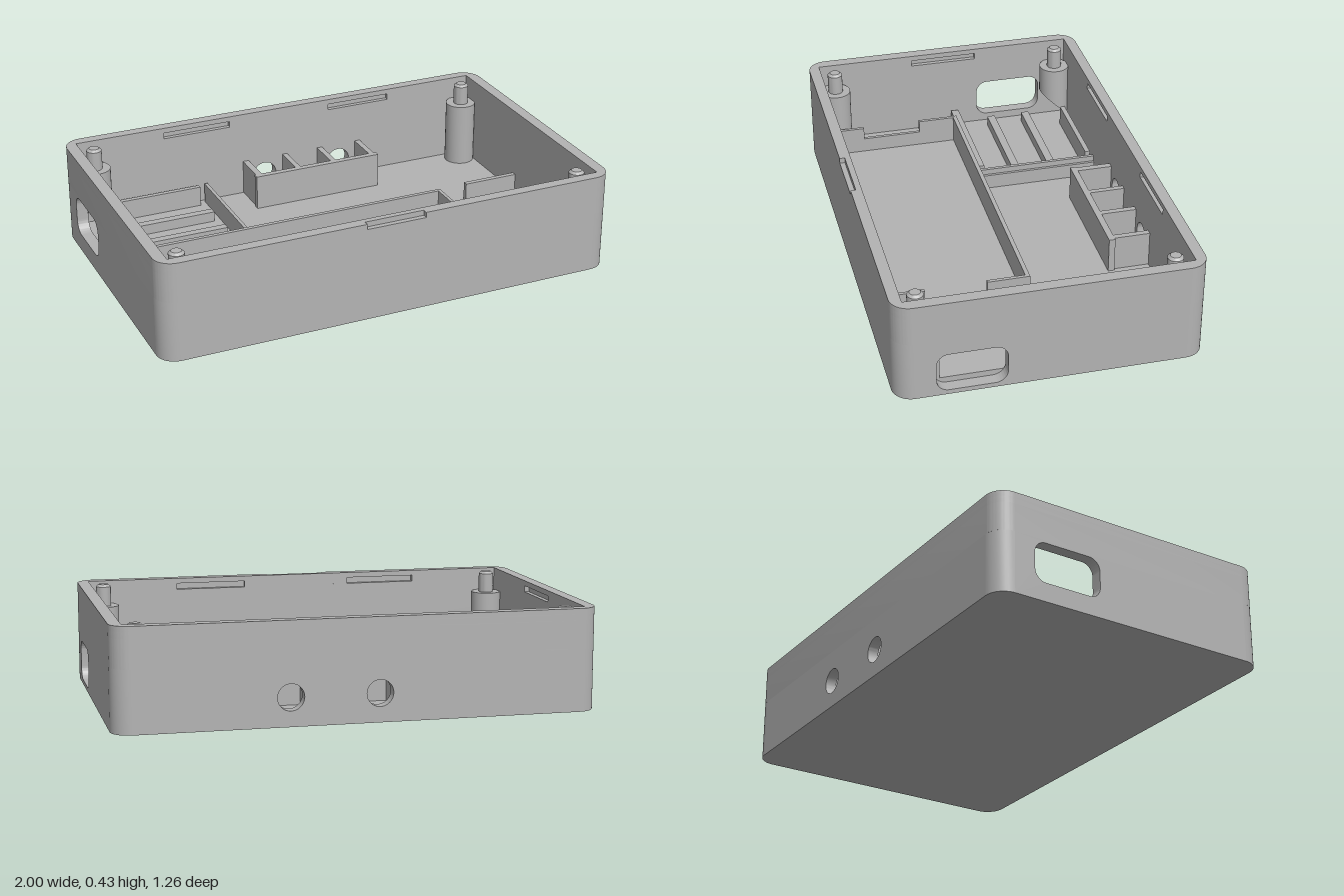
import * as THREE from 'three';
import { toCreasedNormals } from 'three/addons/utils/BufferGeometryUtils.js';

const W = 1, D = 0.63, H = 0.43;      // outer half width, half depth, height
const IW = 0.95, ID = 0.583;          // inner half width and depth
const R = 0.08, FLOOR = 0.045, BAND = 0.26;

export function createModel() {
  const group = new THREE.Group();
  const plastic = new THREE.MeshStandardMaterial({ color: 0xb3b3b3 });
  plastic.name = 'grey plastic';

  const add = (name, geometry) => {
    const mesh = new THREE.Mesh(toCreasedNormals(geometry, 0.6), plastic);
    mesh.name = name;
    group.add(mesh);
    return mesh;
  };
  // Box given by its limits
  const block = (name, x0, x1, y0, y1, z0, z1) =>
    add(name, new THREE.BoxGeometry(x1 - x0, y1 - y0, z1 - z0)
      .translate((x0 + x1) / 2, (y0 + y1) / 2, (z0 + z1) / 2));
  // Plan shape (shape y = -z) raised from y0 to y1
  const slab = (name, shape, y0, y1) =>
    add(name, new THREE.ExtrudeGeometry(shape, { depth: y1 - y0, bevelEnabled: false, curveSegments: 10 })
      .rotateX(-Math.PI / 2).translate(0, y0, 0));
  const roundRect = (path, x0, x1, y0, y1, r, notch) => {
    path.moveTo(x0 + r, y0);
    if (notch) {
      path.lineTo(-notch, y0);
      path.lineTo(-notch, y0 + 0.022);
      path.lineTo(notch, y0 + 0.022);
      path.lineTo(notch, y0);
    }
    path.lineTo(x1 - r, y0);
    path.absarc(x1 - r, y0 + r, r, -Math.PI / 2, 0);
    path.lineTo(x1, y1 - r);
    path.absarc(x1 - r, y1 - r, r, 0, Math.PI / 2);
    path.lineTo(x0 + r, y1);
    path.absarc(x0 + r, y1 - r, r, Math.PI / 2, Math.PI);
    path.lineTo(x0, y0 + r);
    path.absarc(x0 + r, y0 + r, r, Math.PI, Math.PI * 1.5);
    return path;
  };
  const pathOf = (pts) => new THREE.Path(pts.map(([x, y]) => new THREE.Vector2(x, y)));

  // Floor
  block('floor', -IW, IW, 0, FLOOR, -ID, ID);

  // Upper wall: plain band, band with inner latch recesses, rim with front notch
  const plain = pathOf([[-IW, -ID], [IW, -ID], [IW, ID], [-IW, ID]]);
  const g = 0.02;
  const recessed = pathOf([
    [-IW, -ID], [-0.55, -ID], [-0.55, -ID - g], [-0.24, -ID - g], [-0.24, -ID],
    [0.24, -ID], [0.24, -ID - g], [0.55, -ID - g], [0.55, -ID], [IW, -ID],
    [IW, ID], [0.54, ID], [0.54, ID + g], [0.24, ID + g], [0.24, ID],
    [-0.24, ID], [-0.24, ID + g], [-0.55, ID + g], [-0.55, ID], [-IW, ID],
    [-IW, 0.15], [-IW - g, 0.15], [-IW - g, -0.15], [-IW, -0.15],
  ]);
  const bands = [
    ['upperWall', BAND, 0.38, plain, 0],
    ['latchRecessBand', 0.38, 0.407, recessed, 0],
    ['rim', 0.407, H, plain, 0.13],
  ];
  for (const [name, y0, y1, hole, notch] of bands) {
    const shape = roundRect(new THREE.Shape(), -W, W, -D, D, R, notch);
    shape.holes.push(hole);
    slab(name, shape, y0, y1);
  }

  // Lower wall corners
  for (let i = 0; i < 4; i++) {
    const sx = i % 2 ? 1 : -1, sz = i < 2 ? 1 : -1;
    const pts = [[IW, D - R], [W, D - R]];
    for (let k = 1; k <= 10; k++) {
      const a = (k / 10) * Math.PI / 2;
      pts.push([W - R + R * Math.cos(a), D - R + R * Math.sin(a)]);
    }
    pts.push([W - R, ID], [IW, ID]);
    slab('wallCorner', new THREE.Shape(pts.map(([x, y]) => new THREE.Vector2(sx * x, sz * y))), 0, BAND);
  }

  // Lower wall panels
  block('frontWall', -W + R, W - R, 0, BAND, ID, D);
  const back = roundRect(new THREE.Shape(), -W + R, W - R, 0, BAND, 0);
  for (const x of [-0.075, 0.29]) {
    back.holes.push(new THREE.Path().absarc(x, 0.12, 0.055, 0, Math.PI * 2, true));
  }
  add('backWall', new THREE.ExtrudeGeometry(back, { depth: D - ID, bevelEnabled: false, curveSegments: 24 })
    .translate(0, 0, -D));
  const sideWall = (name, x, z0, z1, y0, y1) => {
    const shape = roundRect(new THREE.Shape(), -D + R, D - R, 0, BAND, 0);
    shape.holes.push(roundRect(new THREE.Path(), -z1, -z0, y0, y1, 0.05));
    add(name, new THREE.ExtrudeGeometry(shape, { depth: W - IW, bevelEnabled: false, curveSegments: 10 })
      .rotateY(Math.PI / 2).translate(x, 0, 0));
  };
  sideWall('leftWall', IW, 0.18, 0.465, 0.02, 0.19);
  sideWall('rightWall', -W, -0.46, -0.16, 0.08, 0.25);

  // Corner posts with locating pegs; one has a sloped underside above the port
  for (const x of [-0.89, 0.89]) {
    for (const z of [-0.52, 0.52]) {
      const profile = [[0, FLOOR], [0.067, FLOOR], [0.067, 0.33], [0.033, 0.33], [0.033, 0.415], [0.022, 0.425], [0, 0.425]];
      const post = new THREE.LatheGeometry(profile.map(([r, y]) => new THREE.Vector2(r, y)), 28);
      if (x < 0 && z < 0) {
        const p = post.attributes.position;
        for (let i = 0; i < p.count; i++) {
          if (p.getY(i) < 0.1) p.setY(i, 0.145 + p.getZ(i) * 0.9);
        }
      }
      add('cornerPost', post.translate(x, 0, z));
    }
  }

  // Battery tray: back wall and two notched end walls
  block('trayBackWall', -0.815, 0.535, FLOOR, 0.165, -0.03, -0.012);
  for (const x of [-0.815, 0.52]) {
    block('trayEndWall', x, x + 0.015, FLOOR, 0.165, -0.012, 0.15);
    block('trayEndNotch', x, x + 0.015, FLOOR, 0.11, 0.15, 0.41);
    block('trayEndWall', x, x + 0.015, FLOOR, 0.165, 0.41, ID);
  }

  // Circuit board supports and stepped divider
  block('boardRib', -0.83, -0.405, FLOOR, 0.135, -0.56, -0.538);
  block('boardRib', -0.9, -0.405, FLOOR, 0.09, -0.4, -0.365);
  block('boardRib', -0.9, -0.405, FLOOR, 0.09, -0.235, -0.2);
  block('boardRib', -0.925, -0.405, FLOOR, 0.13, -0.065, -0.03);
  block('divider', -0.375, -0.36, FLOOR, 0.135, -0.565, -0.03);
  block('dividerStep', -0.36, -0.348, FLOOR, 0.11, -0.565, -0.03);

  // Jack bays against the back wall
  block('bayFront', -0.185, 0.41, FLOOR, 0.2, -0.43, -0.403);
  for (const [a, b] of [[-0.18, -0.152], [0.013, 0.036], [0.185, 0.21], [0.375, 0.4]]) {
    block('bayDivider', a, b, FLOOR, 0.2, -ID, -0.43);
  }

  // Ribs on the left wall
  block('sideRib', 0.7, IW, FLOOR, 0.13, -0.11, -0.088);
  block('sideRib', 0.7, IW, FLOOR, 0.13, 0.443, 0.468);

  return group;
}
